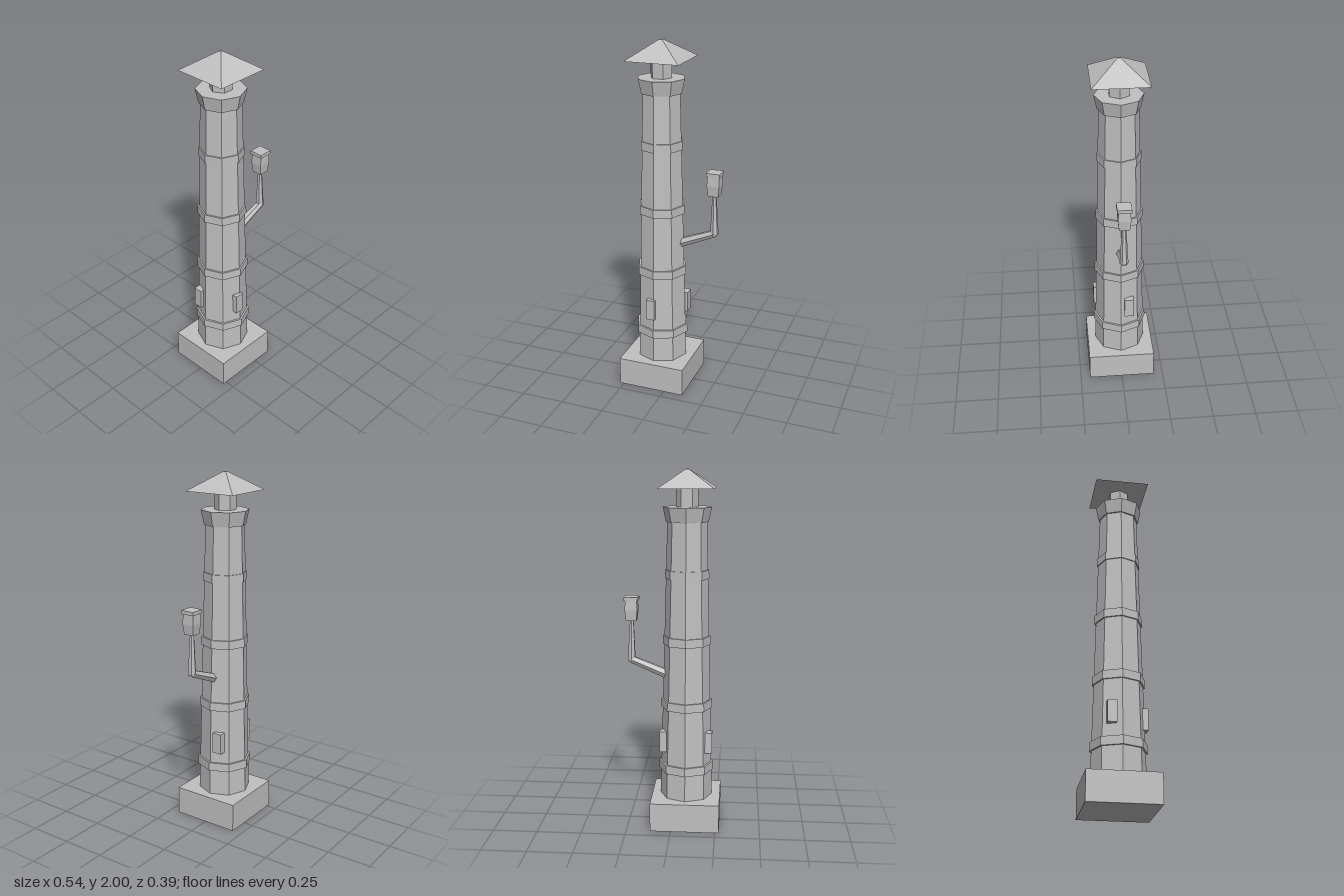
import * as THREE from 'three';

export function createModel() {
  const model = new THREE.Group();
  model.name = 'lighthouse';
  const stone = new THREE.MeshStandardMaterial({ color: 0xc0c0c0 });
  stone.name = 'pale grey stone';
  stone.flatShading = true;

  const add = (parent, name, geometry, x, y, z) => {
    const mesh = new THREE.Mesh(geometry, stone);
    mesh.name = name;
    mesh.position.set(x, y, z);
    parent.add(mesh);
    return mesh;
  };

  // Upright prism between two heights; rotation is baked into the geometry
  const prism = (parent, name, sides, y0, y1, r0, r1, turn = 0) => {
    const geometry = new THREE.CylinderGeometry(r1, r0, y1 - y0, sides).rotateY(turn);
    return add(parent, name, geometry, 0, (y0 + y1) / 2, 0);
  };
  // Square frustum given by half widths
  const square = (parent, name, y0, y1, h0, h1) =>
    prism(parent, name, 4, y0, y1, h0 * Math.SQRT2, h1 * Math.SQRT2, Math.PI / 4);

  // Tower body
  const tower = new THREE.Group();
  tower.name = 'tower';
  tower.position.x = -0.078;
  model.add(tower);
  square(tower, 'plinth', 0, 0.163, 0.194, 0.194);
  prism(tower, 'shaft', 8, 0.16, 1.73, 0.148, 0.108);
  prism(tower, 'gallery', 8, 1.72, 1.8, 0.116, 0.133);

  // Rings around the shaft
  [[0.313, 0.155], [0.68, 0.144], [1.045, 0.134], [1.412, 0.122]].forEach(([y, r]) =>
    prism(tower, 'ring', 8, y, y + 0.048, r, r - 0.001));

  // Lantern room and roof
  prism(tower, 'lanternRoom', 6, 1.79, 1.91, 0.06, 0.06, Math.PI / 2);
  square(tower, 'roof', 1.9, 2, 0.152, 0.008);

  // Window blocks
  add(tower, 'frontWindow', new THREE.BoxGeometry(0.05, 0.12, 0.04), -0.016, 0.49, 0.133);
  add(tower, 'leftWindow', new THREE.BoxGeometry(0.04, 0.12, 0.055), 0.128, 0.49, -0.048);
  add(tower, 'rightWindow', new THREE.BoxGeometry(0.04, 0.12, 0.05), -0.128, 0.49, -0.055);

  // Bent bracket arm, built as tapered hexagonal struts
  const strut = (name, from, to, r0, r1) => {
    const a = new THREE.Vector3(...from);
    const b = new THREE.Vector3(...to);
    const dir = b.clone().sub(a);
    const mesh = add(model, name, new THREE.CylinderGeometry(r1, r0, dir.length(), 6), 0, 0, 0);
    mesh.position.copy(a).add(b).multiplyScalar(0.5);
    mesh.quaternion.setFromUnitVectors(new THREE.Vector3(0, 1, 0), dir.normalize());
  };
  strut('lowerArm', [0.02, 0.864, 0], [0.238, 0.954, 0], 0.028, 0.022);
  strut('upperArm', [0.232, 0.945, 0], [0.229, 1.185, 0], 0.024, 0.011);

  // Lamp at the end of the arm
  const lamp = new THREE.Group();
  lamp.name = 'lamp';
  lamp.position.x = 0.23;
  model.add(lamp);
  square(lamp, 'lampBase', 1.175, 1.235, 0.029, 0.035);
  square(lamp, 'lampBody', 1.235, 1.29, 0.035, 0.032);
  square(lamp, 'lampCap', 1.288, 1.308, 0.039, 0.039);

  return model;
}
